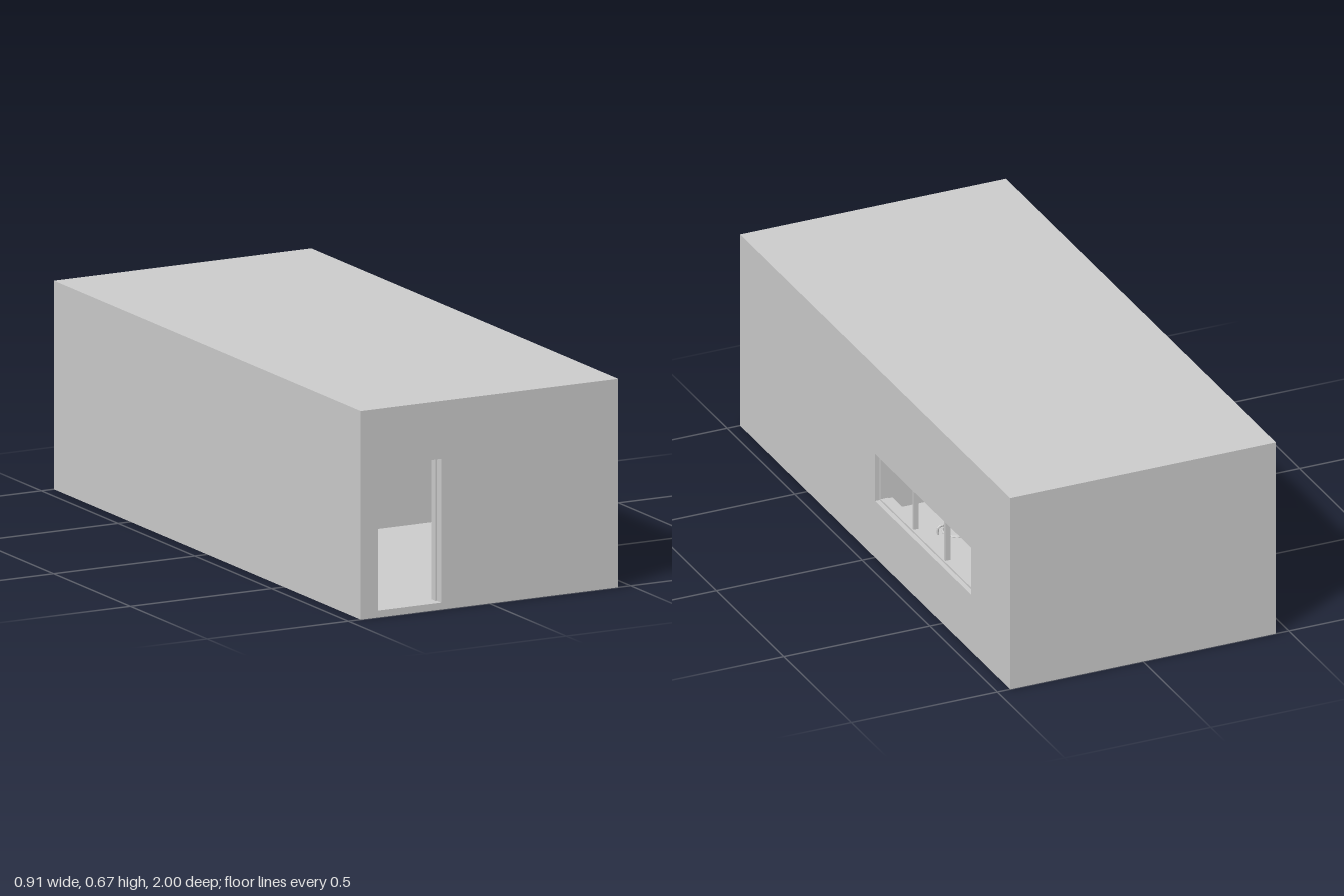
import * as THREE from 'three';

const W = 0.456, H = 0.667, L = 1, T = 0.06;   // half width, height, half length, wall thickness
const FLOOR = 0.022, CEIL = 0.64, IN = W - T;
const grey = new THREE.MeshStandardMaterial({ color: 0xcccccc, flatShading: true });

function add(parent, name, geometry, x = 0, y = 0, z = 0) {
  const m = new THREE.Mesh(geometry, grey);
  m.name = name;
  m.position.set(x, y, z);
  parent.add(m);
  return m;
}

// Box given by its minimum and maximum corners
function block(parent, name, [x0, y0, z0], [x1, y1, z1]) {
  return add(parent, name, new THREE.BoxGeometry(x1 - x0, y1 - y0, z1 - z0),
    (x0 + x1) / 2, (y0 + y1) / 2, (z0 + z1) / 2);
}

function rect(path, [x0, y0, x1, y1]) {
  return path.moveTo(x0, y0).lineTo(x1, y0).lineTo(x1, y1).lineTo(x0, y1).closePath();
}

// Rectangular panel with one rectangular opening
function panel(outer, hole, depth) {
  const shape = rect(new THREE.Shape(), outer);
  shape.holes.push(rect(new THREE.Path(), hole));
  return new THREE.ExtrudeGeometry(shape, { depth, bevelEnabled: false });
}

function buildShell() {
  const g = new THREE.Group();
  g.name = 'shell';
  block(g, 'floor', [-IN, 0, -L + T], [IN, FLOOR, L - T]);
  block(g, 'roof', [-W, CEIL, -L], [W, H, L]);
  block(g, 'backWall', [-W, 0, -L], [W, CEIL, -L + T]);
  block(g, 'rightWall', [-W, 0, -L + T], [-IN, CEIL, L - T]);
  add(g, 'frontWall', panel([-W, 0, W, CEIL], [-0.395, FLOOR, -0.17, 0.482], T), 0, 0, L - T);
  // Window wall: panel x runs towards the back
  const side = add(g, 'windowWall', panel([-L + T, 0, L - T, CEIL], [0, 0.197, 0.71, 0.361], T), IN);
  side.rotation.y = Math.PI / 2;
  return g;
}

function buildWindow() {
  const g = new THREE.Group();
  g.name = 'windowFrame';
  const frame = add(g, 'outerFrame', panel([0, 0.197, 0.71, 0.361], [0.007, 0.203, 0.703, 0.356], 0.025), 0.415);
  frame.rotation.y = Math.PI / 2;
  for (const z of [-0.237, -0.473])
    block(g, 'mullion', [0.418, 0.2, z - 0.004], [0.436, 0.359, z + 0.004]);
  block(g, 'sashEdge', [0.418, 0.2, -0.703], [0.43, 0.359, -0.69]);
  return g;
}

function buildDoorFrame() {
  const g = new THREE.Group();
  g.name = 'entranceFrame';
  block(g, 'sideJamb', [-0.395, FLOOR, 0.945], [-0.39, 0.482, 0.97]);
  block(g, 'sideJamb', [-0.175, FLOOR, 0.945], [-0.17, 0.482, 0.97]);
  block(g, 'head', [-0.39, 0.477, 0.945], [-0.175, 0.482, 0.97]);
  return g;
}

function buildInterior() {
  const g = new THREE.Group();
  g.name = 'interior';
  // Cross wall with a doorway and an open door on hinges
  add(g, 'partition', panel([-IN, FLOOR, IN, CEIL], [-0.39, FLOOR + 0.001, -0.27, 0.5], 0.03), 0, 0, 0.003);
  block(g, 'doorLeaf', [-0.282, FLOOR + 0.003, 0.033], [-0.27, 0.495, 0.15]);
  for (const y of [0.075, 0.28, 0.45])
    add(g, 'hinge', new THREE.CylinderGeometry(0.003, 0.003, 0.022, 10), -0.284, y, 0.036);
  block(g, 'wallBox', [0.2, 0.275, -0.018], [0.26, 0.33, 0.003]);
  // Worktop below the window with sink rim and tap
  block(g, 'counterBase', [0.24, FLOOR, -0.68], [IN, 0.17, -0.06]);
  block(g, 'worktop', [0.23, 0.17, -0.69], [IN, 0.185, -0.05]);
  const rim = add(g, 'sinkRim', new THREE.TorusGeometry(0.045, 0.004, 8, 28), 0.3, 0.186, -0.27);
  rim.rotation.x = Math.PI / 2;
  const tapPath = new THREE.CatmullRomCurve3([
    [0.365, 0.185, -0.27], [0.365, 0.207, -0.27], [0.35, 0.214, -0.27], [0.33, 0.208, -0.27],
  ].map(p => new THREE.Vector3(...p)));
  add(g, 'tap', new THREE.TubeGeometry(tapPath, 16, 0.004, 8));
  // Tall cupboard on the far wall
  block(g, 'cupboard', [-IN, FLOOR, -0.56], [-0.28, 0.5, -0.4]);
  return g;
}

export function createModel() {
  const model = new THREE.Group();
  model.name = 'cabin';
  model.add(buildShell(), buildWindow(), buildDoorFrame(), buildInterior());
  return model;
}
